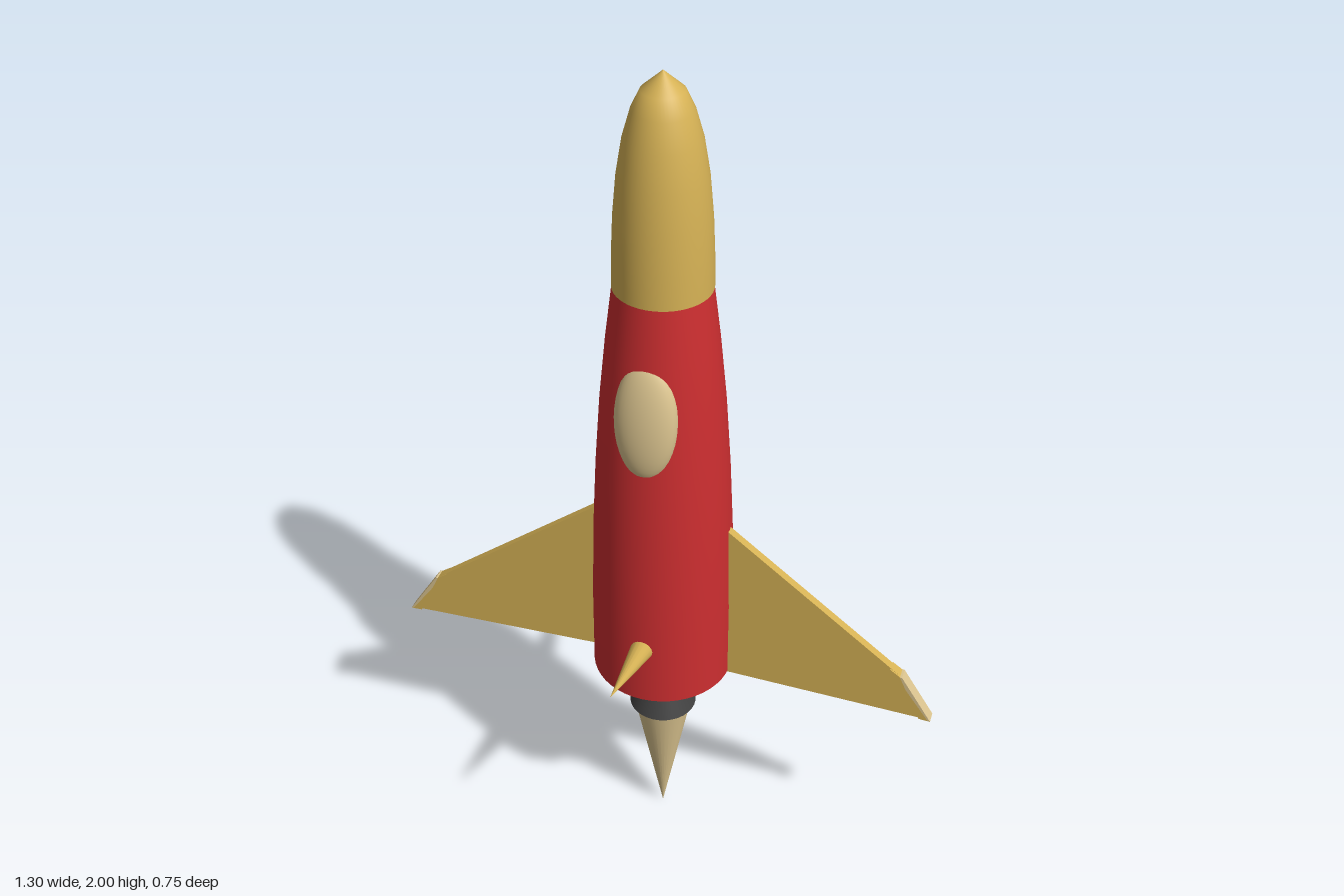
import * as THREE from 'three';

const material = (name, color) => {
  const m = new THREE.MeshStandardMaterial({ color });
  m.name = name;
  return m;
};

export function createModel() {
  const red = material('hull red', 0xcc2e30);
  const gold = material('gold', 0xd6b255);
  const cream = material('cream', 0xdcc590);
  const dark = material('nozzle grey', 0x414141);

  const rocket = new THREE.Group();
  rocket.name = 'rocket';

  const add = (name, geometry, mat, parent = rocket) => {
    const mesh = new THREE.Mesh(geometry, mat);
    mesh.name = name;
    parent.add(mesh);
    return mesh;
  };
  // profile points run from bottom to top as [radius, y]
  const lathe = (points) =>
    new THREE.LatheGeometry(points.map(([r, y]) => new THREE.Vector2(r, y)), 48);
  // flat outline in x/y, thickened evenly about z = 0
  const plate = (points, depth) => {
    const shape = new THREE.Shape(points.map(([x, y]) => new THREE.Vector2(x, y)));
    return new THREE.ExtrudeGeometry(shape, { depth, bevelEnabled: false })
      .translate(0, 0, -depth / 2);
  };

  // Tapered hull, closed underneath
  add('hull', lathe([[0.164, 0.505], [0.163, 0.7], [0.158, 0.9], [0.149, 1.08],
    [0.137, 1.25], [0.122, 1.4], [0.106, 1.53]]), red);
  add('hullBase', new THREE.CircleGeometry(0.164, 48).rotateX(Math.PI / 2)
    .translate(0, 0.505, 0), red);

  // Rounded nose with a small pointed tip
  add('nose', lathe([[0.107, 1.53], [0.106, 1.6], [0.102, 1.69], [0.094, 1.78],
    [0.081, 1.86], [0.064, 1.92], [0.045, 1.96], [0, 2]]), gold);
  add('noseBase', new THREE.RingGeometry(0.1, 0.107, 48).rotateX(Math.PI / 2)
    .translate(0, 1.53, 0), gold);

  // Bulging window on the front
  const canopy = add('canopy', new THREE.SphereGeometry(1, 32, 20)
    .scale(0.07, 0.143, 0.037), cream);
  canopy.position.set(0, 1.267, 0.117);
  canopy.rotation.x = -0.1;

  // Swept wings with thicker tips and pale end strips
  for (const side of [1, -1]) {
    const wing = new THREE.Group();
    wing.name = side > 0 ? 'leftWing' : 'rightWing';
    if (side < 0) wing.rotation.y = Math.PI;
    add('wingPanel', plate([[0.12, 0.504], [0.645, 0.489], [0.572, 0.605],
      [0.155, 0.925], [0.12, 0.925]], 0.02), gold, wing);
    add('wingTip', plate([[0.625, 0.489], [0.647, 0.488], [0.572, 0.605],
      [0.548, 0.622]], 0.028), gold, wing);
    add('wingTipStrip', plate([[0.647, 0.488], [0.652, 0.488], [0.577, 0.605],
      [0.572, 0.605], [0.588, 0.57]], 0.029), cream, wing);
    rocket.add(wing);
  }

  // Spikes on the front and back, angled slightly upward
  for (const side of [1, -1]) {
    const start = new THREE.Vector3(0, 0.65, side * 0.13);
    const end = new THREE.Vector3(0, 0.704, side * 0.375);
    const axis = end.clone().sub(start);
    const spike = add(side > 0 ? 'frontSpike' : 'backSpike',
      new THREE.ConeGeometry(0.03, axis.length(), 16), gold);
    spike.position.copy(start).add(end).multiplyScalar(0.5);
    spike.quaternion.setFromUnitVectors(new THREE.Vector3(0, 1, 0), axis.normalize());
  }

  // Engine nozzle: short neck and flared bell
  add('nozzleNeck', new THREE.CylinderGeometry(0.05, 0.044, 0.07, 32, 1, true)
    .translate(0, 0.48, 0), dark);
  add('nozzleBell', new THREE.CylinderGeometry(0.044, 0.08, 0.085, 32)
    .translate(0, 0.4025, 0), dark);

  // Exhaust flame, pointing down
  add('flame', new THREE.ConeGeometry(0.069, 0.36, 32).rotateX(Math.PI)
    .translate(0, 0.18, 0), cream);

  return rocket;
}
